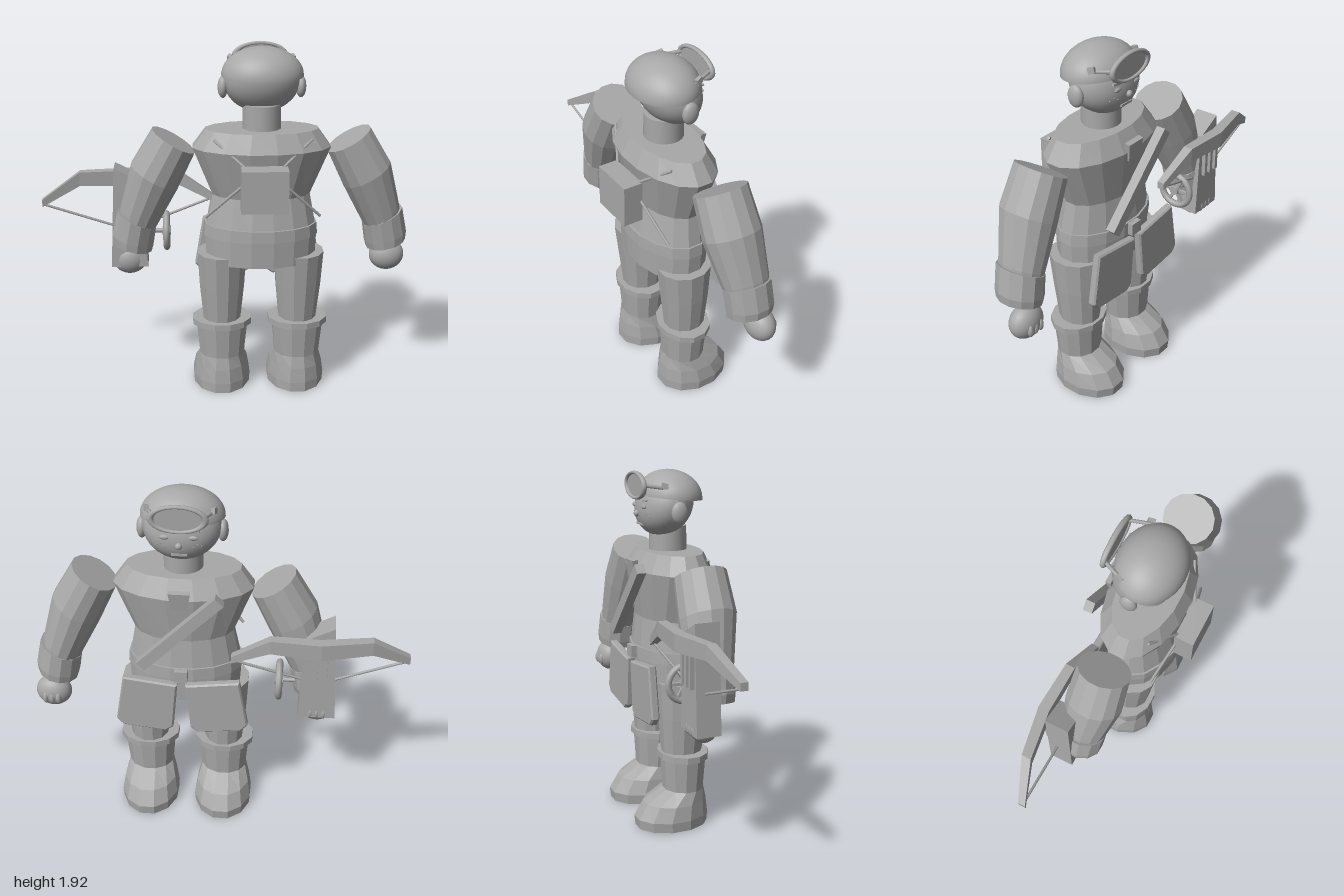
import * as THREE from 'three';

const grey = new THREE.MeshStandardMaterial({ color: 0xa8a8a8 });
grey.name = 'plain grey';

// Facet a geometry so every face keeps its own normal
function facet(geo) {
  const g = geo.index ? geo.toNonIndexed() : geo;
  g.computeVertexNormals();
  return g;
}

function add(parent, name, geo, pos = [0, 0, 0], rot = [0, 0, 0], scale = [1, 1, 1]) {
  const m = new THREE.Mesh(geo, grey);
  m.name = name;
  m.position.set(...pos);
  m.rotation.set(...rot);
  m.scale.set(...scale);
  parent.add(m);
  return m;
}

// Closed faceted body through elliptical rings, bottom to top: [x, y, z, rx, rz, tilt]
function loft(rings, n) {
  const p = [], idx = [];
  for (const [x, y, z, rx, rz, t = 0] of rings)
    for (let i = 0; i < n; i++) {
      const a = ((i + 0.5) / n) * Math.PI * 2, u = Math.cos(a) * rx;
      p.push(x + u * Math.cos(t), y + u * Math.sin(t), z + Math.sin(a) * rz);
    }
  const last = rings.length - 1, c0 = rings.length * n, c1 = c0 + 1;
  p.push(...rings[0].slice(0, 3), ...rings[last].slice(0, 3));
  for (let i = 0; i < n; i++) {
    const j = (i + 1) % n;
    for (let r = 0; r < last; r++) {
      const a = r * n + i, b = r * n + j;
      idx.push(a, a + n, b + n, a, b + n, b);
    }
    idx.push(c0, i, j, c1, last * n + j, last * n + i);
  }
  const g = new THREE.BufferGeometry();
  g.setAttribute('position', new THREE.Float32BufferAttribute(p, 3));
  g.setIndex(idx);
  return facet(g);
}

// Straight bar between two points
function rod(parent, name, a, b, r, sides = 6) {
  const A = new THREE.Vector3(...a), B = new THREE.Vector3(...b);
  const m = add(parent, name, new THREE.CylinderGeometry(r, r, A.distanceTo(B), sides));
  m.position.copy(A).lerp(B, 0.5);
  m.quaternion.setFromUnitVectors(new THREE.Vector3(0, 1, 0), B.sub(A).normalize());
}

// Flat plate cut from an outline, with its thickness along +z
function plate(points, depth, bevel = 0) {
  const s = new THREE.Shape(points.map(([x, y]) => new THREE.Vector2(x, y)));
  return new THREE.ExtrudeGeometry(s, { depth, bevelEnabled: bevel > 0, bevelSize: bevel, bevelThickness: bevel, bevelSegments: 1 });
}

const box = (x, y, z) => new THREE.BoxGeometry(x, y, z);
const ball = (w = 28, h = 20) => new THREE.SphereGeometry(1, w, h);

// Front of the face at a given spot
const faceZ = (x, y) => {
  const Y = (y - 1.74) / 0.168;
  return -0.03 + 0.025 * Y - 0.15 * Math.sqrt(Math.max(0, 1 - Y * Y - (x / 0.198) ** 2));
};

function buildHead(body) {
  const head = new THREE.Group();
  head.name = 'head';
  body.add(head);
  add(head, 'neck', new THREE.CylinderGeometry(0.1, 0.102, 0.15, 24), [0, 1.55, -0.008]);
  const skull = ball(32, 24), p = skull.attributes.position;
  for (let i = 0; i < p.count; i++) {
    const Y = p.getY(i);
    p.setXYZ(i, p.getX(i) * 0.198, 1.74 + Y * 0.168, -0.03 + p.getZ(i) * 0.15 + 0.025 * Y);
  }
  skull.computeVertexNormals();
  add(head, 'skull', skull);
  // cap: dome with a flat underside
  const dome = new THREE.SphereGeometry(1, 32, 12, 0, Math.PI * 2, 0, Math.PI / 2);
  add(head, 'cap', dome, [0, 1.775, 0], [0.09, 0, 0], [0.213, 0.145, 0.172]);
  add(head, 'capUnderside', new THREE.CircleGeometry(1, 32), [0, 1.775, 0], [Math.PI / 2 + 0.09, 0, 0], [0.213, 0.172, 1]);
  // goggles pushed up on the forehead
  add(head, 'goggleRim', new THREE.TorusGeometry(1, 0.13, 8, 32), [0, 1.842, -0.19], [0, 0, 0], [0.132, 0.066, 0.11]);
  add(head, 'goggleLens', new THREE.CylinderGeometry(1, 1, 0.008, 32), [0, 1.842, -0.188], [Math.PI / 2, 0, 0], [0.13, 1, 0.064]);
  for (const s of [-1, 1]) {
    add(head, 'ear', ball(16, 12), [s * 0.203, 1.71, -0.022], [0, 0, 0], [0.027, 0.058, 0.045]);
    rod(head, 'goggleArm', [s * 0.175, 1.83, -0.04], [s * 0.12, 1.85, -0.185], 0.01);
    add(head, 'goggleClip', box(0.02, 0.03, 0.035), [s * 0.165, 1.847, -0.09], [0.3, s * 0.3, 0]);
    add(head, 'eye', ball(12, 8), [s * 0.07, 1.735, faceZ(0.07, 1.735)], [0, 0, 0], [0.026, 0.012, 0.008]);
    add(head, 'eyebrow', box(0.06, 0.01, 0.012), [s * 0.07, 1.765, faceZ(0.07, 1.765)], [0, 0, s * 0.15]);
    for (let i = 0; i < 3; i++) {
      const x = s * (0.07 + i * 0.02), y = 1.685 + (i % 2) * 0.013;
      add(head, 'freckle', ball(6, 4), [x, y, faceZ(x, y)], [0, 0, 0], [0.004, 0.004, 0.004]);
    }
  }
  add(head, 'nose', ball(12, 8), [0, 1.695, -0.185], [0, 0, 0], [0.018, 0.018, 0.016]);
  add(head, 'mouth', box(0.08, 0.012, 0.012), [0, 1.64, faceZ(0, 1.64)]);
}

function buildTorso(body) {
  add(body, 'torso', loft([
    [0, 0.96, -0.012, 0.3, 0.188], [0, 1.14, -0.02, 0.265, 0.16],
    [0, 1.4, -0.008, 0.37, 0.207], [0, 1.497, -0.002, 0.3, 0.157]], 16));
  add(body, 'belt', loft([[0, 0.915, -0.012, 0.31, 0.198], [0, 0.98, -0.012, 0.305, 0.196]], 16));
  add(body, 'pelvis', loft([[0, 0.77, -0.012, 0.3, 0.186], [0, 0.92, -0.012, 0.305, 0.19]], 16));
  add(body, 'buckle', box(0.07, 0.065, 0.03), [0, 0.948, -0.222]);
  // chest pocket and diagonal baton
  add(body, 'chestPocket', plate([[-0.055, 0.05], [-0.04, -0.05], [0.04, -0.05], [0.055, 0.05]], 0.03), [0, 1.4, -0.224], [-0.15, 0, 0]);
  add(body, 'baton', box(0.06, 0.58, 0.05), [0, 1.23, -0.243], [0, 0, Math.PI / 4]);
  // backpack with crossing straps
  add(body, 'backpack', box(0.24, 0.223, 0.105), [0, 1.232, 0.245]);
  for (const s of [-1, 1]) {
    rod(body, 'upperStrap', [s * 0.255, 1.463, 0.115], [s * 0.1, 1.34, 0.2], 0.008);
    rod(body, 'lowerStrap', [s * 0.3, 1.06, 0.155], [s * 0.11, 1.24, 0.2], 0.008);
    const o = [[0.03, 0.89], [0.3, 0.925], [0.345, 0.66], [0.315, 0.625], [0.09, 0.6], [0.055, 0.625]];
    add(body, 'hipBag', plate(o.map(([x, y]) => [s * x, y]), 0.03, 0.008), [0, 0, -0.235]);
  }
}

function buildLimbs(body, s) {
  const x = s * 0.21;
  // leg and boot
  add(body, 'trouserLeg', loft([
    [x, 0.38, -0.018, 0.102, 0.11], [x, 0.62, -0.012, 0.126, 0.132], [x, 0.812, -0.005, 0.137, 0.148]], 12));
  add(body, 'bootCuff', loft([[x, 0.385, -0.01, 0.166, 0.138], [x, 0.42, -0.01, 0.166, 0.138]], 12));
  add(body, 'boot', loft([
    [x, 0, -0.078, 0.16, 0.205], [x, 0.055, -0.081, 0.164, 0.208], [x, 0.137, -0.06, 0.15, 0.178],
    [x, 0.205, -0.01, 0.127, 0.113], [x, 0.39, -0.008, 0.144, 0.125]], 12));
  // arm, bracer and hand
  add(body, 'arm', loft([
    [s * 0.68, 0.92, -0.055, 0.1, 0.11, s * 0.4], [s * 0.66, 0.997, -0.05, 0.111, 0.122, s * 0.5],
    [s * 0.567, 1.235, -0.025, 0.142, 0.15, s * 0.52], [s * 0.462, 1.43, -0.02, 0.13, 0.138, s * 0.535]], 14));
  add(body, 'bracer', loft([
    [s * 0.696, 0.828, -0.06, 0.11, 0.12, s * 0.25], [s * 0.692, 0.87, -0.06, 0.118, 0.125, s * 0.28],
    [s * 0.668, 0.99, -0.052, 0.118, 0.127, s * 0.45]], 12));
  add(body, 'hand', ball(24, 16), [s * 0.717, 0.735, -0.115], [0, 0, 0], [0.097, 0.09, 0.072]);
  for (let i = -1; i <= 1; i++)
    add(body, 'finger', ball(10, 8), [s * 0.717 + i * 0.035, 0.72, -0.175], [0, 0, 0], [0.016, 0.035, 0.018]);
}

function buildCrossbow(model) {
  const bow = new THREE.Group();
  bow.name = 'crossbow';
  model.add(bow);
  add(bow, 'stock', plate([[-0.63, 0.7], [-0.43, 0.7], [-0.455, 1.19], [-0.6, 1.265]], 0.13), [0, 0, -0.188]);
  for (const x of [-0.585, -0.535, -0.485])
    add(bow, 'stockRib', box(0.022, 0.2, 0.03), [x, 1.04, -0.195]);
  // bow limbs: tapered box sections swept from tip to tip: [x, y, z, half height, half depth]
  const rows = [[-0.995, 1.06, -0.12, 0.02, 0.02], [-0.795, 1.175, -0.19, 0.038, 0.026], [-0.535, 1.165, -0.235, 0.045, 0.03],
    [-0.275, 1.175, -0.225, 0.038, 0.026], [-0.075, 1.06, -0.195, 0.02, 0.02]];
  const p = [], idx = [];
  for (const [x, y, z, h, d] of rows)
    p.push(x, y - h, z - d, x, y + h, z - d, x, y + h, z + d, x, y - h, z + d);
  for (let r = 0; r < rows.length - 1; r++)
    for (let i = 0; i < 4; i++) {
      const a = r * 4 + i, b = r * 4 + (i + 1) % 4;
      idx.push(a, b, b + 4, a, b + 4, a + 4);
    }
  idx.push(0, 3, 2, 0, 2, 1, 16, 17, 18, 16, 18, 19);
  const g = new THREE.BufferGeometry();
  g.setAttribute('position', new THREE.Float32BufferAttribute(p, 3));
  g.setIndex(idx);
  add(bow, 'bowLimbs', facet(g));
  rod(bow, 'bowstring', [-0.99, 1.05, -0.12], [-0.535, 0.89, -0.14], 0.007);
  rod(bow, 'bowstring', [-0.08, 1.05, -0.195], [-0.535, 0.89, -0.14], 0.007);
  // spoked winding wheel on the side
  const wheel = new THREE.Group();
  wheel.name = 'windingWheel';
  wheel.position.set(-0.325, 0.89, -0.12);
  wheel.rotation.y = Math.PI / 2;
  bow.add(wheel);
  add(wheel, 'wheelRim', new THREE.TorusGeometry(0.093, 0.018, 8, 24));
  add(wheel, 'wheelHub', new THREE.CylinderGeometry(0.025, 0.025, 0.045, 12), [0, 0, 0], [Math.PI / 2, 0, 0]);
  for (let i = 0; i < 3; i++)
    add(wheel, 'wheelSpoke', box(0.18, 0.016, 0.016), [0, 0, 0], [0, 0, (i * Math.PI) / 3]);
  rod(bow, 'wheelAxle', [-0.48, 0.89, -0.12], [-0.31, 0.89, -0.12], 0.012, 8);
}

export function createModel() {
  const model = new THREE.Group();
  model.name = 'crossbowman';
  const body = new THREE.Group();
  body.name = 'figure';
  body.position.x = 0.185;
  model.add(body);
  buildHead(body);
  buildTorso(body);
  for (const s of [-1, 1]) buildLimbs(body, s);
  buildCrossbow(model);
  return model;
}
